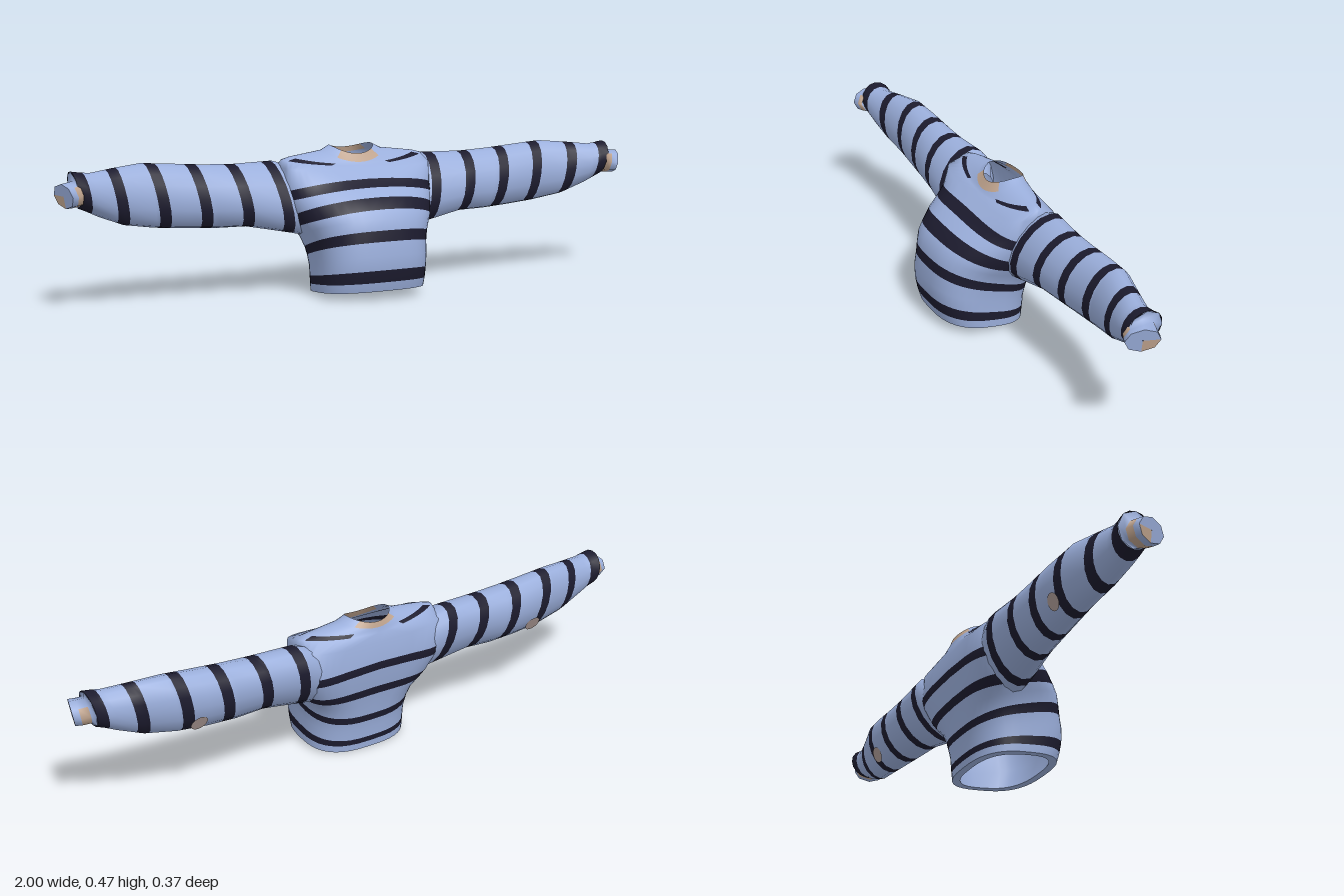
import * as THREE from 'three';

const TAU = Math.PI * 2;
const BLUE = 0, NAVY = 1, TAN = 2, PATCH = 3, SHOULDER_BARS = 4, NECK_TRIM = 5;

function material(name, color) {
  const m = new THREE.MeshStandardMaterial({ color, side: THREE.DoubleSide });
  m.name = name;
  return m;
}

// Skin a list of closed rings; pick(row, seg) chooses the material of each cell
function loft(name, rings, mats, pick) {
  const n = rings[0].length;
  const lists = mats.map(() => []);
  for (let i = 0; i < rings.length - 1; i++) {
    for (let j = 0; j < n; j++) {
      const a = i * n + j, b = a + n, c = i * n + (j + 1) % n, d = c + n;
      lists[pick(i, j)].push(a, b, c, c, b, d);
    }
  }
  const g = new THREE.BufferGeometry();
  g.setAttribute('position', new THREE.Float32BufferAttribute(rings.flat(2), 3));
  g.setIndex(lists.flat());
  let start = 0;
  lists.forEach((l, k) => {
    if (l.length) g.addGroup(start, l.length, k);
    start += l.length;
  });
  g.computeVertexNormals();
  const mesh = new THREE.Mesh(g, mats);
  mesh.name = name;
  return mesh;
}

// Torso rows: front y, front z, back y, back z, half width, side lift, front and back squareness
const TORSO = [
  [0.03, 0.165, 0.0, -0.125, 0.176, 0, 2.8, 2.8],
  [0.06, 0.174, 0.022, -0.127, 0.178, 0, 2.8, 2.8],
  [0.1, 0.182, 0.041, -0.13, 0.179, 0, 2.8, 2.8],
  [0.145, 0.184, 0.075, -0.132, 0.181, 0, 2.8, 2.8],
  [0.19, 0.177, 0.103, -0.138, 0.185, 0, 2.7, 2.8],
  [0.225, 0.173, 0.127, -0.142, 0.192, 0, 2.6, 2.8],
  [0.26, 0.165, 0.17, -0.15, 0.206, -0.006, 2.5, 3],
  [0.288, 0.148, 0.205, -0.158, 0.222, -0.016, 2.4, 3.5],
  [0.322, 0.115, 0.234, -0.165, 0.236, -0.016, 2.5, 4],
  [0.348, 0.072, 0.3, -0.179, 0.25, -0.022, 2.8, 5],
  [0.372, 0.038, 0.328, -0.182, 0.256, -0.02, 3.2, 5],
  [0.395, 0.006, 0.39, -0.174, 0.256, 0.015, 4.5, 5],
  [0.409, -0.013, 0.42, -0.166, 0.25, 0.018, 1.8, 1.7],
  [0.414, -0.018, 0.43, -0.163, 0.222, 0.018, 1.7, 1.6],
  [0.419, -0.023, 0.437, -0.162, 0.105, 0.026, 2, 2],
  [0.445, -0.04, 0.455, -0.157, 0.075, 0.02, 2, 2],
];
const BANDS = { 1: NAVY, 4: NAVY, 7: NAVY, 9: NAVY, 12: SHOULDER_BARS, 14: NECK_TRIM };
const SEGS = 40;

function torsoRing([yF, zF, yB, zB, w, lift, nF, nB]) {
  return Array.from({ length: SEGS }, (_, j) => {
    const a = (j / SEGS) * TAU;
    const n = Math.sin(a) > 0 ? nF : nB;
    const power = (v) => Math.sign(v) * Math.abs(v) ** (2 / n);
    const u = power(Math.cos(a)), t = (power(Math.sin(a)) + 1) / 2;
    return [w * u, yB + (yF - yB) * t + lift * u * u, zB + (zF - zB) * t];
  });
}

function insetRing([yF, zF, yB, zB, w, ...rest], d) {
  return torsoRing([yF, zF - d, yB, zB + d, w - d, ...rest]);
}

// Sleeve stations: x, bottom y, top y, back z, front z, forward lean of the underside
const SLEEVE = [
  [0.15, 0.25, 0.39, -0.14, -0.03, 0.2],
  [0.21, 0.19, 0.415, -0.165, -0.012, 0.3],
  [0.25, 0.2, 0.427, -0.172, -0.006, 0.3],
  [0.4, 0.23, 0.425, -0.17, -0.012, 0.22],
  [0.5, 0.23, 0.43, -0.17, -0.02, 0.15],
  [0.6, 0.236, 0.438, -0.167, -0.025, 0.12],
  [0.7, 0.245, 0.446, -0.156, -0.03, 0.1],
  [0.8, 0.262, 0.438, -0.132, -0.022, 0.05],
  [0.88, 0.295, 0.43, -0.115, -0.01, 0],
  [0.915, 0.313, 0.434, -0.113, -0.005, 0],
  [0.942, 0.325, 0.438, -0.116, -0.004, 0],
];
// Stripe edges along the sleeve
const STRIPES = [[0.253, 0.289], [0.384, 0.421], [0.518, 0.555], [0.652, 0.689], [0.786, 0.823], [0.904, 0.942]];
const TILT = 0.18;

function sleeveAt(x) {
  let i = 0;
  while (i < SLEEVE.length - 2 && x > SLEEVE[i + 1][0]) i++;
  const [p, q] = [SLEEVE[i], SLEEVE[i + 1]];
  const t = (x - p[0]) / (q[0] - p[0]);
  return p.map((v, k) => v + (q[k] - v) * t);
}

// Point on a sleeve ring; rings tilt so their tops sit further out
function sleevePoint([x, yb, yt, zb, zf, lean], a, side, slant = 0) {
  const dy = Math.sin(a) * (yt - yb) / 2;
  const dz = Math.cos(a) * (zf - zb) / 2;
  return [side * (x - slant * dz + TILT * dy), (yb + yt) / 2 + dy, (zb + zf) / 2 + dz - lean * dy];
}

function sleeveRing(station, segs, side, slant) {
  return Array.from({ length: segs }, (_, j) => sleevePoint(station, side * (j / segs) * TAU, side, slant));
}

export function createModel() {
  const mats = [
    material('light blue knit', 0x9bafdc),
    material('dark navy stripe', 0x1c1b2e),
    material('tan trim', 0xc0a48e),
    material('faded elbow patch', 0xaf9d98),
  ];
  const root = new THREE.Group();
  root.name = 'stripedSweater';

  // Body with level stripes, short shoulder bars and tan at the front and back of the neck
  const body = loft('body', TORSO.map(torsoRing), mats, (i, j) => {
    const c = Math.abs(Math.cos(((j + 0.5) / SEGS) * TAU));
    const band = BANDS[i] ?? BLUE;
    if (band === SHOULDER_BARS) return c > 0.5 && c < 0.96 ? NAVY : BLUE;
    if (band === NECK_TRIM) return c < 0.75 ? TAN : BLUE;
    return band;
  });

  // Turned-in hem and plain lining
  const hem = loft('hem', [insetRing(TORSO[0], 0.024), torsoRing(TORSO[0])], mats, () => BLUE);
  const lining = loft('lining', [
    insetRing(TORSO[6], 0.006),
    insetRing(TORSO[4], 0.01),
    insetRing(TORSO[2], 0.018),
    insetRing(TORSO[0], 0.024),
  ], mats, () => BLUE);
  root.add(body, hem, lining);

  // Ring positions: the stations plus both edges of each stripe
  const cuts = [...new Set([...SLEEVE.map((s) => s[0]), ...STRIPES.flat()])].sort((a, b) => a - b);

  for (const side of [1, -1]) {
    const arm = new THREE.Group();
    arm.name = side > 0 ? 'leftArm' : 'rightArm';

    const sleeve = loft('sleeve', cuts.map((x) => sleeveRing(sleeveAt(x), 16, side)), mats, (i) => {
      const mid = (cuts[i] + cuts[i + 1]) / 2;
      return STRIPES.some(([from, to]) => mid > from && mid < to) ? NAVY : BLUE;
    });

    // Slanted cuff end: tan below the top at its root, closed at the tip
    const cellAngle = (j) => side * ((j + 0.5) / 8) * TAU;
    const tipRing = sleeveRing([0.983, 0.33, 0.406, -0.08, 0.02, 0], 8, side, 0.3);
    const cuff = loft('cuff', [
      sleeveRing([0.942, 0.325, 0.438, -0.116, -0.004, 0], 8, side),
      sleeveRing([0.94, 0.332, 0.412, -0.095, 0.004, 0], 8, side, 0.2),
      sleeveRing([0.963, 0.33, 0.408, -0.088, 0.012, 0], 8, side, 0.3),
      tipRing,
    ], mats, (i, j) => (i === 1 && Math.sin(cellAngle(j)) < 0.5 ? TAN : BLUE));
    const tip = loft('cuffTip', [
      tipRing,
      sleeveRing([0.983, 0.367, 0.369, -0.031, -0.029, 0], 8, side, 0.3),
    ], mats, (i, j) => (Math.sin(cellAngle(j)) < 0 && Math.cos(cellAngle(j)) < 0 ? TAN : BLUE));

    // Small elbow patch on the rear underside
    const angle = Math.PI + 0.6;
    const normal = new THREE.Vector3(0, Math.sin(angle) / 0.1, Math.cos(angle) / 0.07).normalize();
    const patch = new THREE.Mesh(new THREE.CircleGeometry(0.028, 16), mats[PATCH]);
    patch.name = 'elbowPatch';
    patch.position.set(...sleevePoint(sleeveAt(0.64), angle, side)).addScaledVector(normal, 0.005);
    patch.quaternion.setFromUnitVectors(new THREE.Vector3(0, 0, 1), normal);

    arm.add(sleeve, cuff, tip, patch);
    root.add(arm);
  }
  return root;
}
